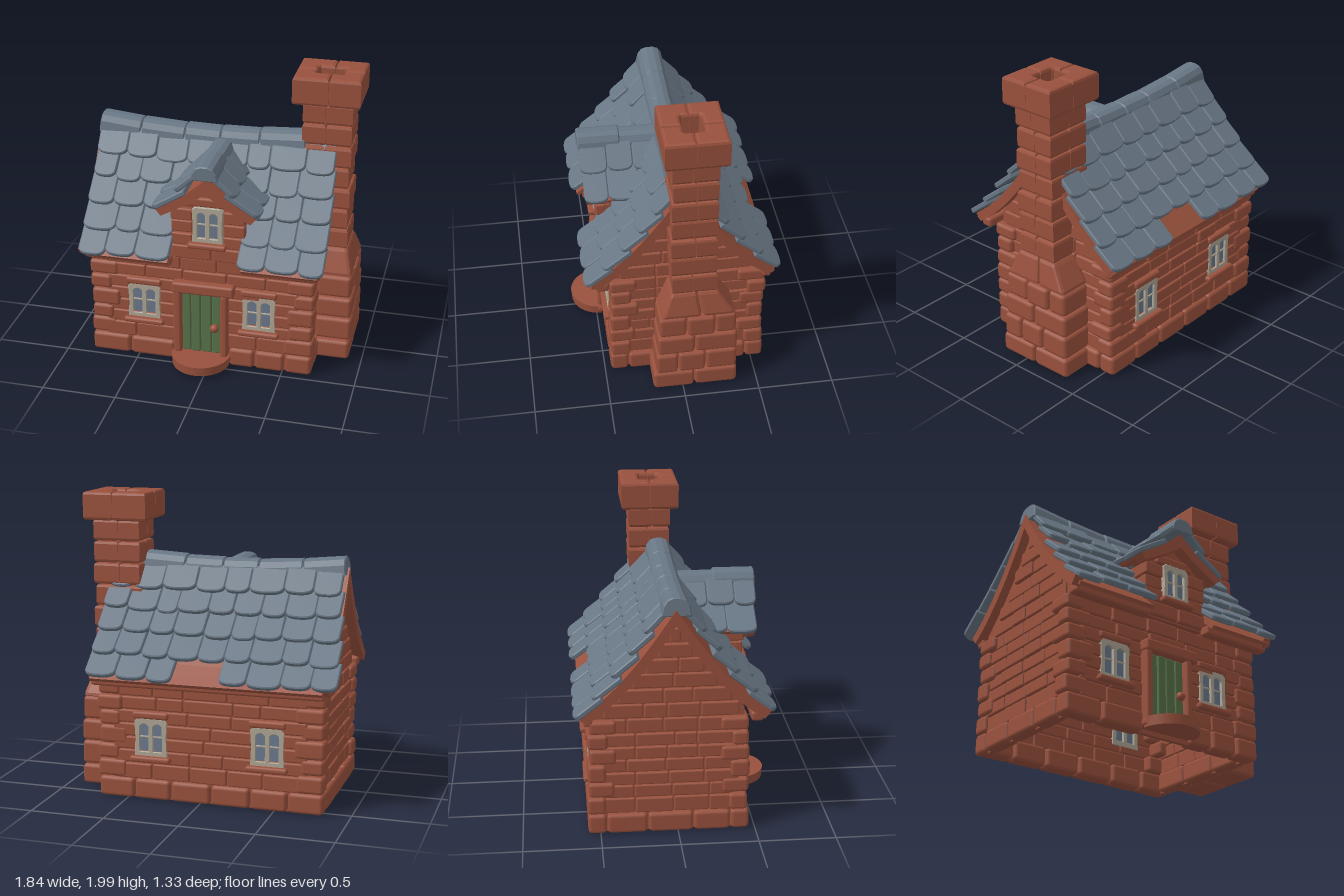
import * as THREE from 'three';
import { RoundedBoxGeometry } from 'three/addons/geometries/RoundedBoxGeometry.js';

const mat = (name, color) => Object.assign(new THREE.MeshStandardMaterial({ color }), { name });
const brick = mat('brick red', 0x99513d);
const slate = mat('slate blue', 0x687684);
const green = mat('door green', 0x577248);
const trim = mat('window stone', 0xaea594);
const glass = mat('window glass', 0x6a798c);

let seed = 7;
const rnd = () => (seed = (seed * 16807) % 2147483647) / 2147483647;
const jit = (a) => (rnd() - 0.5) * 2 * a;
const toShape = (points) => new THREE.Shape(points.map((p) => new THREE.Vector2(...p)));

function group(parent, name, x = 0, y = 0, z = 0, ry = 0) {
  const g = new THREE.Group();
  g.name = name;
  g.position.set(x, y, z);
  g.rotation.y = ry;
  parent.add(g);
  return g;
}
function add(parent, name, geo, material) {
  const m = new THREE.Mesh(geo, material);
  m.name = name;
  parent.add(m);
  return m;
}
// Soft-edged block given by its limits
function block(parent, name, x0, x1, y0, y1, z0, z1, material = brick, round = 0.018) {
  const s = [x1 - x0, y1 - y0, z1 - z0];
  const m = add(parent, name, new RoundedBoxGeometry(...s, 1, Math.min(round, 0.4 * Math.min(...s))), material);
  m.position.set((x0 + x1) / 2, (y0 + y1) / 2, (z0 + z1) / 2);
  return m;
}
// Cut a run into uneven pieces of roughly the given size
function pieces(a, b, size, wobble) {
  const n = Math.max(1, Math.round((b - a) / size));
  const cuts = [a];
  for (let i = 1; i < n; i++) cuts.push(a + (b - a) * (i + jit(wobble)) / n);
  cuts.push(b);
  return cuts.slice(1).map((c, i) => [cuts[i], c]);
}
// Plate standing in XY with rectangular holes
function plate(parent, name, points, holes, depth) {
  const shape = toShape(points);
  for (const [a, b, c, d] of holes)
    shape.holes.push(new THREE.Path([[a, c], [a, d], [b, d], [b, c]].map((p) => new THREE.Vector2(...p))));
  return add(parent, name, new THREE.ExtrudeGeometry(shape, { depth, bevelEnabled: false }), brick);
}
// Brick courses on a wall facing local +z, leaving the holes free
function courses(parent, edges, span, holes) {
  for (let i = 0; i + 1 < edges.length; i++) {
    const [y0, y1] = [edges[i], edges[i + 1]], mid = (y0 + y1) / 2;
    let runs = [span(y1)];
    for (const [a, b, c, d] of holes) {
      if (mid < c || mid > d) continue;
      runs = runs.flatMap(([p, q]) => (b < p || a > q ? [[p, q]] : [[p, a], [b, q]]));
    }
    for (const [p, q] of runs) {
      if (q - p < 0.03) continue;
      for (const [a, b] of pieces(p, q, 0.24, 0.2))
        block(parent, 'wallBrick', a + 0.003, b - 0.003, y0 + 0.003, y1 - 0.003, -0.04, 0.02 + jit(0.006), brick, 0.011);
    }
  }
}
// Rows of round-ended slates on a slope falling towards local +z
function slates(parent, ridge, rows, spans, sag = 0) {
  rows.forEach(([d, y], i) => {
    const up = i ? [rows[i - 1][0] - 0.022, rows[i - 1][1] - 0.02] : ridge;
    const a = Math.atan2(d - up[0], up[1] - y);
    const h = Math.hypot(d - up[0], up[1] - y) * (i ? 1.2 : 1);
    for (const run of spans[i]) for (const [p, q] of pieces(run[0], run[1], 0.19, 0.15)) {
      const w = (q - p) / 2 - 0.008, x = (p + q) / 2, r = 0.036;
      const s = new THREE.Shape();
      s.moveTo(-w, h);
      s.lineTo(-w, r);
      s.bezierCurveTo(-w * 0.95, 0.008, -w * 0.6, 0, 0, 0);
      s.bezierCurveTo(w * 0.6, 0, w * 0.95, 0.008, w, r);
      s.lineTo(w, h);
      const m = add(parent, 'slate', new THREE.ExtrudeGeometry(s, {
        depth: 0.022, bevelThickness: 0.007, bevelSize: 0.007, bevelSegments: 1, curveSegments: 5 }), slate);
      m.position.set(x, y + jit(0.01) + sag * x * x * (1 - i / rows.length), d);
      m.rotation.set(-a, 0, jit(0.02));
    }
  });
}
// Board following a roof profile, running along local z
function band(parent, name, outer, t, z0, z1) {
  const inner = outer.map(([d, y]) => [d - Math.sign(d) * 0.8 * t, y - (d ? t : 2 * t)]).reverse();
  plate(parent, name, [...outer, ...inner], [], z1 - z0).position.z = z0;
}
const flip = (half) => half.map(([d, y]) => [-d, y]);
const mirrored = (half) => [...flip(half.slice(1)).reverse(), ...half];
// Ridge tile with a rounded section, running along local z
function ridgeTile(parent, w, h, y, z0, z1) {
  const s = toShape([[-w, -h], [w, -h], [w * 0.85, -0.045], [w * 0.6, -0.012], [w * 0.25, 0],
    [-w * 0.25, 0], [-w * 0.6, -0.012], [-w * 0.85, -0.045]]);
  const m = add(parent, 'ridgeTile', new THREE.ExtrudeGeometry(s, {
    depth: z1 - z0 - 0.018, bevelThickness: 0.008, bevelSize: 0.008, bevelSegments: 1 }), slate);
  m.position.set(0, y, z0 + 0.009);
  return m;
}
// Casement with two arched lights, lintel and sill, centred on local x
function windowUnit(parent, x, y, z, w, h, lintel, ry = 0) {
  const g = group(parent, 'window', x, y, z, ry), a = w / 2, f = 0.03, m = 0.012;
  const frame = toShape([[-a, 0], [a, 0], [a - 0.006, h * 0.5], [a, h - 0.02], [a - 0.02, h],
    [-a + 0.02, h], [-a, h - 0.02], [-a + 0.006, h * 0.5]]);
  for (const s of [-1, 1]) {
    const [p, q] = [s * m, s * (a - f)];
    const light = new THREE.Path();
    light.moveTo(p, f);
    light.lineTo(p, h - f - 0.02);
    light.quadraticCurveTo((p + q) / 2, h - f + 0.02, q, h - f - 0.02);
    light.lineTo(q, f);
    frame.holes.push(light);
  }
  add(g, 'frame', new THREE.ExtrudeGeometry(frame, { depth: 0.06, bevelThickness: 0.005, bevelSize: 0.004,
    bevelSegments: 1, curveSegments: 4 }), trim).position.z = -0.04;
  block(g, 'glass', -a + 0.015, a - 0.015, 0.015, h - 0.015, -0.025, 0.008, glass, 0.002);
  block(g, 'crossBar', -a + f, a - f, h * 0.52 - 0.006, h * 0.52 + 0.006, -0.03, 0.016, trim, 0.004);
  block(g, 'sill', -a - 0.03, a + 0.03, -0.035, 0.005, -0.03, 0.06);
  if (lintel) block(g, 'lintel', -a - 0.015, a + 0.015, h, h + 0.05, -0.03, 0.04);
}

// Half profiles of the roof: distance from the ridge line, height
const SLATE_ROWS = [[0.18, 1.35], [0.28, 1.22], [0.39, 1.09], [0.51, 0.96], [0.625, 0.835]];
const DECK = [[0, 1.5], [0.14, 1.31], [0.24, 1.18], [0.36, 1.05], [0.48, 0.92], [0.6, 0.815]];
const BARGE = [[0, 1.53], [0.13, 1.34], [0.24, 1.19], [0.36, 1.05], [0.48, 0.935], [0.6, 0.845]];
const RIDGE_Z = -0.02;
function deckHalf(y) {
  for (let i = 1; i < DECK.length; i++) {
    const [a, b] = [DECK[i - 1], DECK[i]];
    if (y >= b[1]) return Math.max(0, a[0] + (b[0] - a[0]) * (a[1] - y) / (a[1] - b[1]));
  }
  return 0.6;
}

function buildWalls(root) {
  const rows = [0.14, 0.25, 0.34, 0.43, 0.52, 0.61, 0.7, 0.8];
  const win = (x) => [x - 0.1, x + 0.1, 0.31, 0.54];
  const long = [[-0.78, 0.01], [0.65, 0.01], [0.65, 0.84], [-0.78, 0.84]];
  const front = group(root, 'frontWall', 0, 0, 0.42);
  const holes = [win(-0.455), win(0.335), [-0.21, 0.1, 0.08, 0.57]];
  plate(front, 'wallCore', long, holes, 0.03).position.z = -0.03;
  courses(front, rows, () => [-0.72, 0.6], holes);
  const back = group(root, 'backWall', 0, 0, -0.54, Math.PI);
  const backHoles = [win(0.455), win(-0.335)];
  plate(back, 'wallCore', flip(long), backHoles, 0.03).position.z = -0.03;
  courses(back, rows, () => [-0.6, 0.72], backHoles);
  // Gable ends rise to the roof
  for (const [name, x, s] of [['leftGable', 0.655, 1], ['rightGable', -0.785, -1]]) {
    const g = group(root, name, x, 0, RIDGE_Z, s * Math.PI / 2);
    const [a, b] = s > 0 ? [-0.44, 0.52] : [-0.52, 0.44];
    const top = [[0.4, 0.96], [0.24, 1.14], [0.14, 1.27], [0, 1.46], [-0.14, 1.27], [-0.24, 1.14], [-0.4, 0.96]];
    plate(g, 'gableCore', [[a, 0.01], [b, 0.01], [b, 0.85], ...top, [a, 0.85]], [], 0.03).position.z = -0.03;
    courses(g, [...rows, 0.9, 1, 1.1, 1.2, 1.3, 1.4], (y) => {
      const h = deckHalf(y + 0.05);
      return [Math.max(a + 0.03, -h), Math.min(b - 0.03, h)];
    }, []);
  }
  // Plinth and corner stones
  const base = group(root, 'plinth');
  for (const [a, b] of [...pieces(-0.83, -0.24, 0.24, 0.1), ...pieces(0.13, 0.7, 0.22, 0.1)])
    block(base, 'plinthStone', a + 0.003, b - 0.003, 0.01, 0.145, 0.34, 0.46, brick, 0.025);
  for (const [a, b] of pieces(-0.83, 0.7, 0.26, 0.1))
    block(base, 'plinthStone', a + 0.003, b - 0.003, 0.01, 0.145, -0.58, -0.46, brick, 0.025);
  for (const [a, b] of pieces(-0.46, 0.34, 0.25, 0.1)) for (const x of [-0.83, 0.59])
    block(base, 'plinthStone', x, x + 0.11, 0.01, 0.145, a + 0.003, b - 0.003, brick, 0.025);
  const corners = group(root, 'cornerStones');
  const q = [0.145, 0.265, 0.37, 0.495, 0.6, 0.705, 0.8];
  for (let i = 0; i + 1 < q.length; i++) for (const sx of [-1, 1]) for (const sz of [-1, 1]) {
    const w = (i % 2 ? 0.15 : 0.19) + jit(0.012), d = (i % 2 ? 0.17 : 0.12) + jit(0.015);
    const x = (sx < 0 ? -0.825 : 0.7) + jit(0.01), z = (sz < 0 ? -0.572 : 0.452) + jit(0.01);
    block(corners, 'cornerStone', Math.min(x, x - sx * w), Math.max(x, x - sx * w), q[i] + 0.002, q[i + 1] - 0.002,
      Math.min(z, z - sz * d), Math.max(z, z - sz * d), brick, 0.024);
  }
  for (const x of [-0.455, 0.335]) {
    windowUnit(root, x, 0.3, 0.42, 0.22, 0.255, true);
    windowUnit(root, x, 0.3, -0.54, 0.22, 0.255, true, Math.PI);
  }
}

function buildDoor(root) {
  const g = group(root, 'door');
  for (const [a, b] of pieces(-0.19, 0.08, 0.068, 0.1))
    block(g, 'doorPlank', a + 0.001, b - 0.001, 0.09, 0.55, 0.39, 0.455 + jit(0.006), green, 0.01);
  block(g, 'doorPost', -0.245, -0.188, 0.08, 0.56, 0.39, 0.49);
  block(g, 'doorPost', 0.078, 0.13, 0.08, 0.56, 0.39, 0.49);
  block(g, 'doorLintel', -0.25, 0.175, 0.55, 0.63, 0.39, 0.5).rotation.z = 0.01;
  block(g, 'threshold', -0.26, 0.15, 0.04, 0.09, 0.38, 0.5);
  add(g, 'doorKnob', new THREE.SphereGeometry(0.03, 14, 10), brick).position.set(0.04, 0.3, 0.475);
  const step = add(g, 'doorStep', new THREE.CylinderGeometry(0.2, 0.195, 0.065, 28, 1, false, -Math.PI / 2, Math.PI), brick);
  step.position.set(-0.055, 0.06, 0.465);
}

function buildRoof(root) {
  const frame = group(root, 'roofFrame', 0, 0, RIDGE_Z, Math.PI / 2);
  // Deck, left open where the dormer stands
  band(frame, 'upperDeck', mirrored(DECK.slice(0, 3)), 0.02, -0.82, 0.74);
  band(frame, 'backDeck', DECK.slice(2), 0.02, -0.82, 0.74);
  band(frame, 'frontDeck', flip(DECK.slice(2)), 0.02, -0.82, -0.25);
  band(frame, 'frontDeck', flip(DECK.slice(2)), 0.02, 0.24, 0.74);
  band(frame, 'bargeBoard', mirrored(BARGE), 0.05, -0.86, -0.8);
  band(frame, 'bargeBoard', mirrored(BARGE), 0.05, 0.69, 0.75);
  for (const [a, b] of [[-0.83, -0.24], [0.22, 0.74]]) block(root, 'eaveBoard', a, b, 0.765, 0.83, 0.46, 0.54);
  block(root, 'eaveBoard', -0.83, 0.74, 0.765, 0.83, -0.6, -0.54);
  const front = group(root, 'frontSlates', 0, 0, RIDGE_Z);
  const split = [[-0.85, -0.235], [0.215, 0.78]];
  slates(front, [0.045, 1.495], SLATE_ROWS, [[[-0.84, 0.76]], [[-0.84, -0.16], [0.16, 0.77]], split, split, split], 0.03);
  const back = group(root, 'backSlates', 0, 0, RIDGE_Z, Math.PI);
  slates(back, [0.045, 1.495], SLATE_ROWS, [[[-0.75, 0.84]], [[-0.76, 0.86]], [[-0.76, 0.88]], [[-0.76, 0.9]],
    [[-0.76, -0.17], [0.15, 0.92]]], 0.03);
  const ridge = group(root, 'ridge', 0, 0, RIDGE_Z + 0.005, Math.PI / 2);
  for (const [a, b] of pieces(-0.84, 0.55, 0.29, 0.1)) {
    const c = (a + b) / 2;
    ridgeTile(ridge, 0.088, 0.105, 1.557 + 0.08 * c * c, a, b).rotation.x = -0.14 * c;
  }
}

function buildDormer(root) {
  const g = group(root, 'dormer');
  plate(g, 'dormerCore', [[-0.23, 0.8], [0.23, 0.8], [0.23, 1.18], [0, 1.38], [-0.23, 1.18]], [], 0.37).position.z = 0.09;
  const rows = [0.81, 0.91, 1.0, 1.09, 1.18];
  const face = group(g, 'dormerFront', 0, 0, 0.465);
  courses(face, rows, () => [-0.25, 0.25], [[-0.1, 0.1, 0.94, 1.2]]);
  block(face, 'gableBrick', -0.15, 0.15, 1.195, 1.26, -0.02, 0.02);
  for (const s of [-1, 1])
    courses(group(g, 'dormerSide', s * 0.225, 0, 0, s * Math.PI / 2), rows,
      () => (s > 0 ? [-0.46, -0.16] : [0.16, 0.46]), []);
  windowUnit(g, 0, 0.945, 0.47, 0.2, 0.25, false);
  const half = [[0, 1.42], [0.14, 1.3], [0.335, 1.19]];
  band(g, 'dormerBargeBoard', mirrored(half), 0.05, 0.47, 0.55);
  band(g, 'dormerDeck', mirrored(half), 0.02, 0.1, 0.5);
  for (const s of [-1, 1]) {
    const side = group(g, 'dormerSlates', 0, 0, 0, s * Math.PI / 2);
    const run = (a, b) => [s > 0 ? [-b, -a] : [a, b]];
    slates(side, [0.03, 1.465], [[0.19, 1.32], [0.345, 1.19]], [run(0.08, 0.575), run(0.2, 0.565)]);
  }
  ridgeTile(g, 0.085, 0.085, 1.5, 0.04, 0.32);
  ridgeTile(g, 0.085, 0.085, 1.515, 0.3, 0.58);
}

function buildChimney(root) {
  const g = group(root, 'chimney');
  // Hollow course of four L-shaped stones around a chamfered flue
  const ring = (x0, x1, z0, z1, y0, y1, t, name, wobble) => {
    const jx = (x0 + x1) / 2 + jit(wobble), jz = (z0 + z1) / 2 + jit(wobble), e = 0.02, c = 0.025;
    for (const sx of [-1, 1]) for (const sz of [-1, 1]) {
      const [ox, oz] = [sx < 0 ? x0 : x1, sz < 0 ? z0 : z1];
      const [X, Z, u, v] = [ox - sx * e, oz - sz * e, ox - sx * (t - e), oz - sz * (t - e)];
      const [mx, mz] = [jx + sx * (e + 0.001), jz + sz * (e + 0.001)];
      const corner = toShape([[X, -Z], [X, -mz], [u, -mz], [u, -(v - sz * c)], [u - sx * c, -v], [mx, -v], [mx, -Z]]);
      const m = add(g, name, new THREE.ExtrudeGeometry(corner, { depth: y1 - y0 - 2 * e,
        bevelThickness: e, bevelSize: e, bevelSegments: 2 }), brick);
      m.rotation.x = -Math.PI / 2;
      m.position.y = y0 + e;
    }
  };
  // Broad foot
  const foot = [[0.005, 0.145, 0.2, -0.365], [0.145, 0.31, 0.18, -0.36], [0.31, 0.46, 0.17, -0.36], [0.46, 0.62, 0.16, -0.35]];
  foot.forEach(([y0, y1, z1, z0], i) => {
    for (const [a, b] of pieces(z0, z1, i % 2 ? 0.19 : 0.27, 0.2))
      block(g, 'footStone', 0.67, 0.91 + jit(0.008), y0 + 0.002, y1 - 0.002, a + 0.002, b - 0.002, brick, 0.025);
  });
  // Shoulder stones lean in towards the stack
  for (const [a, b] of pieces(-0.35, 0.15, 0.25, 0.2)) {
    const m = block(g, 'shoulderStone', 0.66, 0.905, 0.615, 0.8, a + 0.002, b - 0.002, brick, 0.025);
    const p = m.geometry.attributes.position;
    for (let i = 0; i < p.count; i++) {
      const k = (p.getY(i) + 0.0925) / 0.185, z = p.getZ(i) + m.position.z;
      p.setZ(i, z + k * (-0.4 * (z + 0.1) + 0.025) - m.position.z);
      if (p.getX(i) > 0) p.setX(i, p.getX(i) - 0.045 * k);
    }
    m.geometry.computeVertexNormals();
  }
  // Stack and crown
  for (let i = 0; i < 7; i++) {
    const y = 0.785 + i * 0.147, o = jit(0.008);
    ring(0.525 + o, 0.85 + o, -0.22 + jit(0.006), 0.07 + jit(0.006), y + 0.001, y + 0.146, 0.085, 'stackStone', 0.02);
  }
  ring(0.465, 0.905, -0.27, 0.125, 1.81, 2, 0.13, 'crownStone', 0.015);
}

export function createModel() {
  seed = 7;
  const root = new THREE.Group();
  root.name = 'cottage';
  for (const build of [buildWalls, buildDoor, buildRoof, buildDormer, buildChimney]) build(root);
  return root;
}
